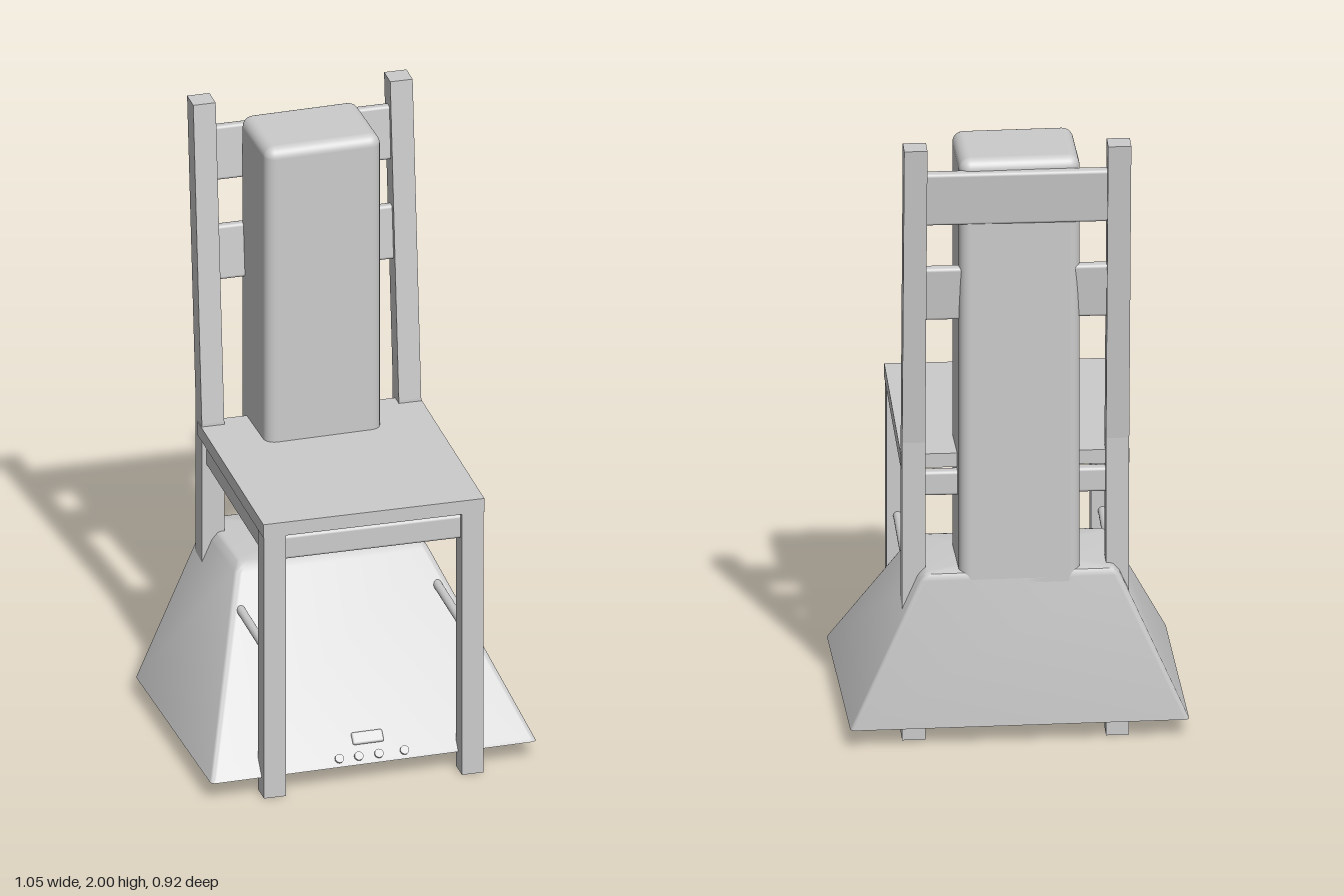
import * as THREE from 'three';
import { toCreasedNormals } from 'three/addons/utils/BufferGeometryUtils.js';
import { RoundedBoxGeometry } from 'three/addons/geometries/RoundedBoxGeometry.js';

const material = new THREE.MeshStandardMaterial({ color: 0xcccccc });

function add(parent, name, geometry, x = 0, y = 0, z = 0) {
  const mesh = new THREE.Mesh(geometry, material);
  mesh.name = name;
  mesh.position.set(x, y, z);
  parent.add(mesh);
  return mesh;
}

// Horizontal rounded rectangle, counter-clockwise from above
function ring(y, halfX, zFront, zBack, r) {
  const pts = [];
  const corners = [[halfX - r, zBack + r], [-halfX + r, zBack + r], [-halfX + r, zFront - r], [halfX - r, zFront - r]];
  corners.forEach(([x, z], c) => {
    for (let k = 0; k <= 4; k++) {
      const a = (c + k / 4) * Math.PI / 2;
      pts.push([x + r * Math.cos(a), y, z - r * Math.sin(a)]);
    }
  });
  return pts;
}

function loft(rings) {
  const pos = [], n = rings[0].length;
  for (let j = 0; j < rings.length - 1; j++) {
    for (let i = 0; i < n; i++) {
      const k = (i + 1) % n, a = rings[j], b = rings[j + 1];
      pos.push(...a[i], ...a[k], ...b[k], ...a[i], ...b[k], ...b[i]);
    }
  }
  const g = new THREE.BufferGeometry();
  g.setAttribute('position', new THREE.Float32BufferAttribute(pos, 3));
  return toCreasedNormals(g, 0.6);
}

function createHood() {
  const hood = new THREE.Group();
  hood.name = 'extractorHood';

  // Tapered canopy with an upright back and a shallow recess underneath
  const bottom = 0.06, ceiling = 0.1;
  const slope = (y, r) => {
    const t = (y - bottom) / 0.515;
    return ring(y, 0.527 - 0.225 * t, 0.41 - 0.465 * t, -0.402, r);
  };
  add(hood, 'canopy', loft([
    ring(ceiling, 0, 0, 0, 0),
    ring(ceiling, 0.475, 0.36, -0.352, 0.01),
    ring(bottom, 0.475, 0.36, -0.352, 0.01),
    slope(bottom, 0.015),
    slope(0.07, 0.015),
    slope(0.55, 0.02),
    ring(0.563, 0.302, -0.046, -0.401, 0.02),
    ring(0.572, 0.294, -0.057, -0.397, 0.02),
    ring(0.575, 0.284, -0.07, -0.39, 0.02),
    ring(0.575, 0, -0.23, -0.23, 0),
  ]));

  // Chimney
  add(hood, 'chimney', new RoundedBoxGeometry(0.376, 1.445, 0.284, 4, 0.035), 0, 1.2225, -0.26);

  // Controls on the sloping front
  const tilt = -Math.atan2(0.465, 0.515);
  const onSlope = (y) => 0.41 - 0.465 * (y - bottom) / 0.515;
  const display = add(hood, 'display', new RoundedBoxGeometry(0.1, 0.04, 0.016, 2, 0.006), -0.005, 0.123, onSlope(0.123));
  display.rotation.x = tilt;
  for (const x of [-0.108, -0.045, 0.02, 0.103]) {
    const button = add(hood, 'button', new THREE.CylinderGeometry(0.014, 0.014, 0.016, 20), x, 0.08, onSlope(0.08));
    button.rotation.x = tilt + Math.PI / 2;
  }
  return hood;
}

// Rear leg and back post in one piece, extruded from its side outline
function postGeometry(width) {
  const outline = [[-0.28, 0], [-0.28, 0.95], [-0.38, 2], [-0.452, 2], [-0.352, 0.99], [-0.352, 0]];
  const shape = new THREE.Shape(outline.map(([z, y]) => new THREE.Vector2(z, y)));
  const g = new THREE.ExtrudeGeometry(shape, { depth: width, bevelEnabled: false });
  g.translate(0, 0, -width / 2);
  g.rotateY(-Math.PI / 2);
  return g;
}

function createChair() {
  const chair = new THREE.Group();
  chair.name = 'chair';
  chair.rotation.y = -0.026;
  const rail = (w, d) => new RoundedBoxGeometry(w, 0.08, d, 2, 0.01);

  add(chair, 'seat', new THREE.BoxGeometry(0.71, 0.046, 0.768), 0, 0.918, 0.061);

  for (const s of [-1, 1]) {
    add(chair, 'frontLeg', new THREE.BoxGeometry(0.07, 0.896, 0.07), s * 0.318, 0.448, 0.41);
    add(chair, 'backPost', postGeometry(0.072), s * 0.3165, 0, 0);
    add(chair, 'sideRail', rail(0.04, 0.7), s * 0.318, 0.845, 0.05);
    const rod = add(chair, 'sideStretcher', new THREE.CylinderGeometry(0.014, 0.014, 0.7, 20), s * 0.318, 0.46, 0.05);
    rod.rotation.x = Math.PI / 2;
  }
  add(chair, 'frontRail', rail(0.6, 0.04), 0, 0.845, 0.41);
  add(chair, 'rearRail', rail(0.6, 0.04), 0, 0.845, -0.316);

  // Back slats leaning with the posts
  for (const y of [1.495, 1.822]) {
    const z = -0.316 - 0.1 * (y - 0.97) / 1.03;
    const slat = add(chair, 'backSlat', new RoundedBoxGeometry(0.6, 0.178, 0.034, 2, 0.01), 0, y, z);
    slat.rotation.x = -0.097;
  }
  return chair;
}

export function createModel() {
  const model = new THREE.Group();
  model.name = 'hoodAndChair';
  model.add(createHood(), createChair());
  return model;
}
